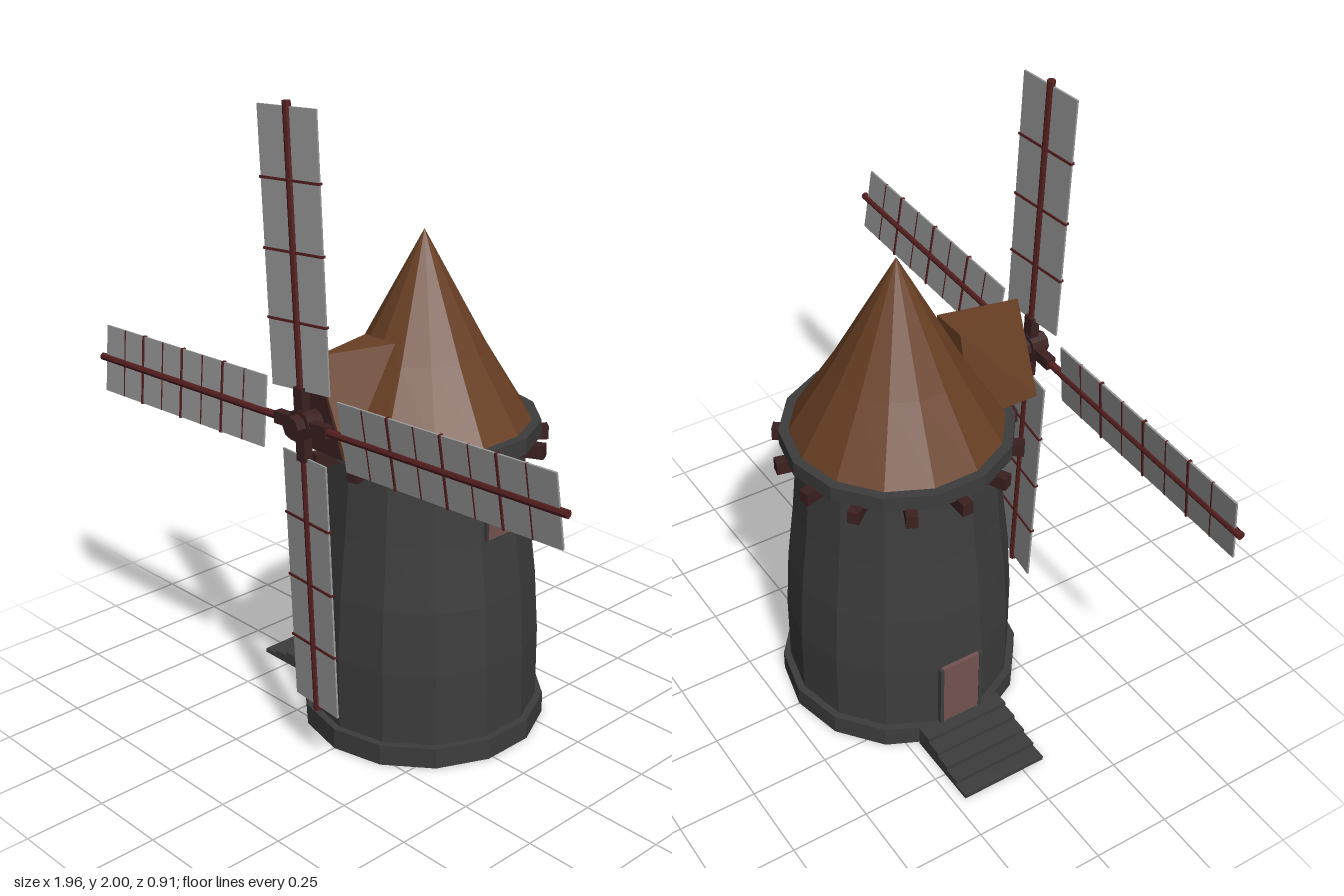
import * as THREE from 'three';
import { ConvexGeometry } from 'three/addons/geometries/ConvexGeometry.js';

const mat = (name, color, side = THREE.FrontSide) => {
  const m = new THREE.MeshStandardMaterial({ color, flatShading: true, side });
  m.name = name;
  return m;
};

export function createModel() {
  const stone = mat('dark stone', 0x3d3d3d, THREE.DoubleSide);
  const roofing = mat('brown roofing', 0x693f24);
  const wood = mat('red wood', 0x561f1f);
  const darkWood = mat('dark wood', 0x3c2020);
  const boards = mat('faded boards', 0x735250);
  const cloth = mat('sail cloth', 0x9a9a9a);

  const SIDES = 14;
  const model = new THREE.Group();
  model.name = 'windmill';

  const add = (parent, name, geometry, material, x = 0, y = 0, z = 0) => {
    const mesh = new THREE.Mesh(geometry, material);
    mesh.name = name;
    mesh.position.set(x, y, z);
    parent.add(mesh);
    return mesh;
  };
  const box = (parent, name, material, w, h, d, x, y, z) =>
    add(parent, name, new THREE.BoxGeometry(w, h, d), material, x, y, z);
  const lathe = (pts) => new THREE.LatheGeometry(pts.map((p) => new THREE.Vector2(...p)), SIDES);

  // Building, centred on its own axis behind the sails
  const mill = new THREE.Group();
  mill.name = 'mill';
  mill.position.z = -0.068;
  model.add(mill);

  // Tower with plinth, open at the bottom
  add(mill, 'tower', lathe([[0.383, 0], [0.383, 0.067], [0.36, 0.067], [0.36, 0.3],
    [0.348, 0.5], [0.325, 0.7], [0.302, 0.96]]), stone);
  add(mill, 'topRing', new THREE.CylinderGeometry(0.355, 0.355, 0.05, SIDES), stone, 0, 0.973, 0);
  add(mill, 'roof', lathe([[0.325, 0.998], [0.195, 1.213], [0, 1.575]]), roofing);

  // Beam ends under the ring
  for (let i = 0; i < SIDES; i++) {
    const holder = new THREE.Group();
    holder.name = 'beamEnd';
    holder.rotation.y = ((i + 0.5) / SIDES) * Math.PI * 2;
    mill.add(holder);
    box(holder, 'beam', darkWood, 0.035, 0.042, 0.11, 0, 0.931, 0.325);
  }

  // Door and steps on the right side
  box(mill, 'door', boards, 0.03, 0.23, 0.13, -0.35, 0.182, 0);
  for (const s of [-1, 1]) box(mill, 'doorPost', stone, 0.034, 0.23, 0.012, -0.35, 0.182, s * 0.071);
  for (let i = 0; i < 5; i++) {
    const h = 0.0134 * (i + 1);
    box(mill, 'step', stone, 0.055, h, 0.29, -0.585 + i * 0.052, h / 2, 0);
  }

  // Arched window on the left side
  const arch = (w, h, depth) => {
    const s = new THREE.Shape();
    s.moveTo(-w, 0);
    s.lineTo(w, 0);
    s.lineTo(w, h - w * 0.7);
    s.quadraticCurveTo(w, h, 0, h);
    s.quadraticCurveTo(-w, h, -w, h - w * 0.7);
    return new THREE.ExtrudeGeometry(s, { depth, bevelEnabled: false, curveSegments: 5 });
  };
  add(mill, 'windowFrame', arch(0.06, 0.165, 0.04), stone, 0.284, 0.7, 0).rotation.y = Math.PI / 2;
  add(mill, 'windowPane', arch(0.052, 0.148, 0.042), boards, 0.284, 0.706, 0).rotation.y = Math.PI / 2;

  // Dormer around the windshaft: pointed in front, flat topped at the back
  const dormer = [[0, 1.285, 0.355]];
  for (const s of [-1, 1]) {
    dormer.push([s * 0.12, 1, 0.355], [s * 0.12, 1, 0.11], [s * 0.062, 1.28, 0.11]);
  }
  add(model, 'dormer', new ConvexGeometry(dormer.map((p) => new THREE.Vector3(...p))), roofing);
  const panel = new THREE.Shape([[-0.108, 1.002], [0.108, 1.002], [0.042, 1.175], [-0.042, 1.175]]
    .map((p) => new THREE.Vector2(...p)));
  add(model, 'dormerFront', new THREE.ExtrudeGeometry(panel, { depth: 0.005, bevelEnabled: false }),
    darkWood, 0, 0, 0.354);

  // Sail wheel, slightly turned
  const wheel = new THREE.Group();
  wheel.name = 'sailWheel';
  wheel.position.set(-0.002, 1.096, 0.408);
  wheel.rotation.z = 0.041;
  model.add(wheel);
  add(wheel, 'windshaft', new THREE.CylinderGeometry(0.034, 0.034, 0.11, 8), darkWood, 0, 0, -0.008)
    .rotation.x = Math.PI / 2;
  add(wheel, 'hub', new THREE.CylinderGeometry(0.048, 0.048, 0.035, 8), darkWood)
    .rotation.x = Math.PI / 2;

  for (let i = 0; i < 4; i++) {
    const level = i % 2 === 1; // the level pair sits further out
    const start = level ? 0.165 : 0.1;
    const length = 0.79;
    const tip = level ? 0.98 : 0.905;
    const arm = new THREE.Group();
    arm.name = 'sailArm';
    arm.rotation.z = (i * Math.PI) / 2;
    wheel.add(arm);
    add(arm, 'spar', new THREE.CylinderGeometry(0.012, 0.012, tip, 8), wood, 0, tip / 2, 0);
    box(arm, 'clamp', darkWood, 0.036, 0.1, 0.03, 0, 0.06, 0);

    // Pitched sail with its crossbars
    const sail = new THREE.Group();
    sail.name = 'sail';
    sail.rotation.y = 0.12;
    arm.add(sail);
    box(sail, 'cloth', cloth, 0.213, length, 0.006, 0, start + length / 2, 0);
    for (let k = 1; k < 4; k++) {
      box(sail, 'crossbar', wood, 0.217, 0.007, 0.014, 0, start + (length * k) / 4, 0);
    }
    if (level) {
      for (let k = 0; k < 4; k++) {
        box(sail, 'lath', wood, 0.213, 0.004, 0.009, 0, start + (length * (k + 0.5)) / 4, 0);
      }
    }
  }
  return model;
}
